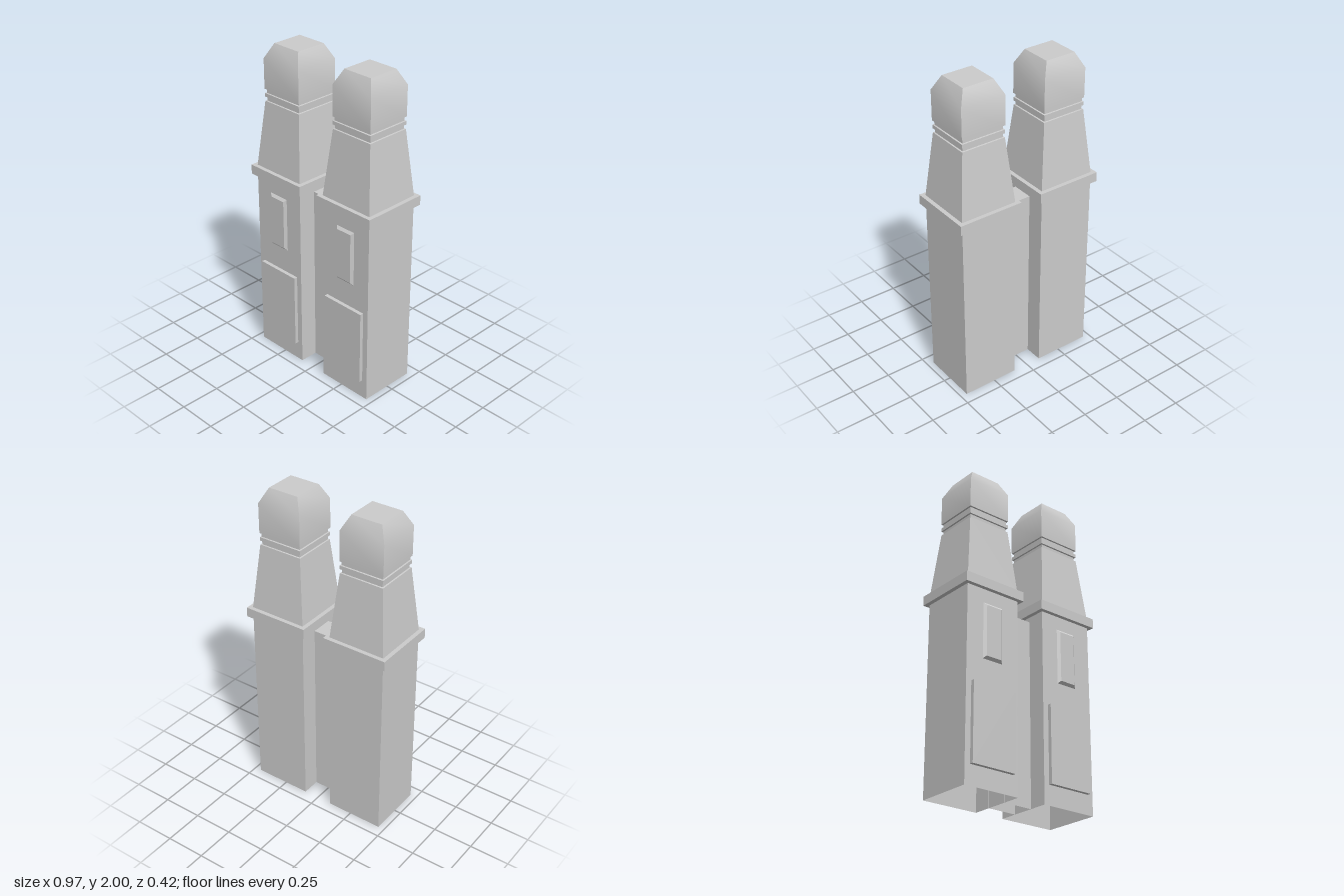
import * as THREE from 'three';
import { toCreasedNormals } from 'three/addons/utils/BufferGeometryUtils.js';

const material = new THREE.MeshStandardMaterial({ color: 0xcccccc, side: THREE.DoubleSide });

function mesh(name, geometry, x = 0, y = 0, z = 0) {
  const m = new THREE.Mesh(geometry, material);
  m.name = name;
  m.position.set(x, y, z);
  return m;
}

// Square-section solid from a profile of [half width, height] pairs
function squareLathe(profile) {
  const points = profile.map(([w, y]) => new THREE.Vector2(w * Math.SQRT2, y));
  return toCreasedNormals(new THREE.LatheGeometry(points, 4, Math.PI / 4), 0.6);
}

// Raised panel with sloping edges, facing +z
function bevelledPanel(w, h, depth, inset) {
  const g = new THREE.BoxGeometry(w, h, depth);
  const p = g.attributes.position;
  for (let i = 0; i < p.count; i++) {
    if (p.getZ(i) > 0) {
      p.setX(i, p.getX(i) - Math.sign(p.getX(i)) * inset);
      p.setY(i, p.getY(i) - Math.sign(p.getY(i)) * inset);
    }
  }
  return toCreasedNormals(g, 0.3);
}

function createTower(name) {
  const tower = new THREE.Group();
  tower.name = name;

  // Hollow body, open underneath
  tower.add(mesh('body', squareLathe([[0.182, 0], [0.182, 1.2]])));
  tower.add(mesh('band', new THREE.BoxGeometry(0.416, 0.06, 0.416), 0, 1.21, 0));

  // Tapered shaft, two grooves and a chamfered cap
  tower.add(mesh('spire', squareLathe([
    [0.182, 1.24], [0.141, 1.65],
    [0.133, 1.652], [0.133, 1.674],
    [0.142, 1.676], [0.142, 1.698],
    [0.134, 1.7], [0.134, 1.722],
    [0.143, 1.724], [0.143, 1.91],
    [0.098, 2], [0, 2],
  ])));

  // Front panels
  tower.add(mesh('lowerPanel', new THREE.BoxGeometry(0.292, 0.475, 0.04), 0, 0.358, 0.185));
  tower.add(mesh('upperPanel', bevelledPanel(0.14, 0.35, 0.016, 0.018), 0, 0.922, 0.188));
  return tower;
}

export function createModel() {
  const model = new THREE.Group();
  model.name = 'twinTowers';
  for (const side of [-1, 1]) {
    const tower = createTower(side > 0 ? 'leftTower' : 'rightTower');
    tower.position.x = side * 0.277;
    model.add(tower);
  }

  // Connecting wall: an arch-shaped sheet, open underneath
  const wall = new THREE.Group();
  wall.name = 'connectingWall';
  for (const side of [-1, 1]) {
    const face = mesh('wallFace', new THREE.PlaneGeometry(0.194, 1.15), 0, 0.575, side * 0.068);
    if (side < 0) face.rotation.y = Math.PI;
    wall.add(face);
  }
  const top = mesh('wallTop', new THREE.PlaneGeometry(0.194, 0.136), 0, 1.15, 0);
  top.rotation.x = -Math.PI / 2;
  wall.add(top);
  model.add(wall);
  return model;
}
